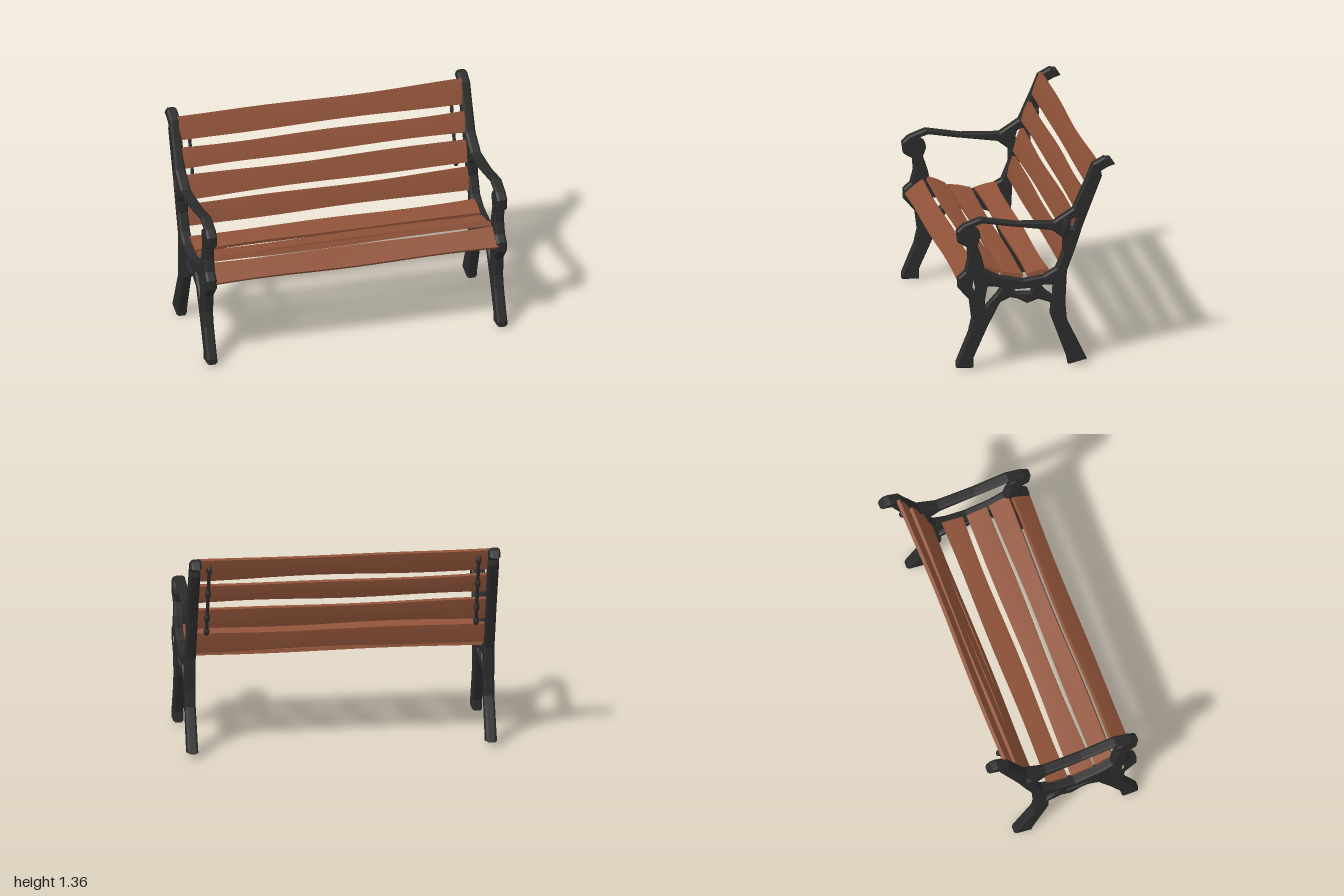
import * as THREE from 'three';

const iron = new THREE.MeshStandardMaterial({ color: 0x2b2b2c });
iron.name = 'darkIron';
const wood = new THREE.MeshStandardMaterial({ color: 0x8f5238 });
wood.name = 'brownWood';

// Side frame silhouette, points are [z, y]
const outline = [
  [-0.51, 1.31], [-0.48, 1.355], [-0.44, 1.36], [-0.365, 1.32], [-0.325, 1.22], [-0.24, 1.03],
  [-0.115, 0.95], [0.13, 0.96], [0.357, 1.0], [0.465, 0.96], [0.51, 0.92], [0.5, 0.845],
  [0.44, 0.81], [0.435, 0.73], [0.455, 0.65], [0.5, 0.61], [0.5, 0.545], [0.425, 0.46],
  [0.41, 0.335], [0.43, 0.245], [0.51, 0.05], [0.51, 0.015], [0.4, 0.01], [0.4, 0.08],
  [0.31, 0.28], [0.23, 0.435], [0.165, 0.465], [0.12, 0.455], [0.055, 0.42], [-0.015, 0.445],
  [-0.1, 0.415], [-0.095, 0.335], [-0.2, 0.05], [-0.21, 0], [-0.33, 0.03], [-0.2, 0.3],
  [-0.19, 0.41], [-0.2, 0.62], [-0.255, 0.77], [-0.3, 0.91], [-0.355, 1.055], [-0.425, 1.235],
  [-0.42, 1.27], [-0.465, 1.295],
];
const openings = [
  // under the armrest
  [[0.4, 0.945], [0.34, 0.965], [0.165, 0.935], [-0.105, 0.895], [-0.175, 0.84], [-0.175, 0.75],
    [-0.13, 0.64], [-0.05, 0.595], [0.08, 0.575], [0.24, 0.61], [0.33, 0.66], [0.345, 0.73],
    [0.375, 0.82], [0.355, 0.88], [0.365, 0.92]],
  // armrest joint, front leg, seat braces
  [[-0.215, 0.9], [-0.23, 0.96], [-0.27, 0.975], [-0.245, 0.9]],
  [[0.405, 0.61], [0.42, 0.55], [0.395, 0.51], [0.385, 0.55]],
  [[0.31, 0.545], [0.22, 0.535], [0.25, 0.49], [0.33, 0.4], [0.325, 0.47]],
  [[0.16, 0.515], [0.02, 0.52], [0.03, 0.49], [0.12, 0.492]],
  [[-0.03, 0.535], [-0.115, 0.535], [-0.11, 0.46], [-0.065, 0.495]],
];

function frameGeometry() {
  const toPoints = (list) => list.map(([z, y]) => new THREE.Vector2(z, y));
  const shape = new THREE.Shape(toPoints(outline));
  shape.holes = openings.map((o) => new THREE.Path(toPoints(o)));
  const geo = new THREE.ExtrudeGeometry(shape, {
    depth: 0.04, bevelEnabled: true, bevelThickness: 0.013, bevelSize: 0.009,
    bevelOffset: -0.009, bevelSegments: 1,
  });
  geo.translate(0, 0, -0.02);
  geo.rotateY(-Math.PI / 2);
  return geo;
}

// Weathered plank: a subdivided box whose edges wander and ends flare slightly
function slatGeometry(width, seed) {
  const geo = new THREE.BoxGeometry(1.87, width, 0.028, 16, 2, 1);
  const p = geo.attributes.position;
  for (let i = 0; i < p.count; i++) {
    const x = p.getX(i), y = p.getY(i), z = p.getZ(i);
    const flare = 0.94 + 0.08 * Math.pow(Math.abs(x) / 0.935, 3);
    const wave = 0.004 * Math.sin(x * 5 + seed * 2.1 + Math.sign(y) * 1.3);
    const crown = Math.abs(y) < 0.001 ? 1.1 : 0.8;
    p.setY(i, y * flare + wave);
    p.setZ(i, z * crown + 0.004 * Math.sin(x * 4 + seed * 1.7));
  }
  geo.computeVertexNormals();
  return geo;
}

// Plank lying across the bench between two [z, y] edges of its cross-section
function addSlat(group, name, [z0, y0], [z1, y1], seed) {
  const slat = new THREE.Mesh(slatGeometry(Math.hypot(z1 - z0, y1 - y0), seed), wood);
  slat.name = name;
  slat.position.set(0, (y0 + y1) / 2, (z0 + z1) / 2);
  slat.rotation.x = Math.atan2(z1 - z0, y1 - y0);
  group.add(slat);
}

function addSide(group, side) {
  const part = new THREE.Group();
  part.name = side > 0 ? 'leftFrame' : 'rightFrame';
  const frame = new THREE.Mesh(frameGeometry(), iron);
  frame.name = 'sideFrame';
  frame.position.x = side * 0.953;
  part.add(frame);

  // Swelling where the armrest meets the post
  const boss = new THREE.Mesh(new THREE.SphereGeometry(1, 8, 6), iron);
  boss.name = 'armrestJoint';
  boss.scale.set(0.036, 0.085, 0.035);
  boss.position.set(side * 0.964, 0.91, -0.19);
  part.add(boss);

  // Thin tie rod with knobs behind the back slats
  const low = new THREE.Vector3(side * 0.86, 0.82, -0.255);
  const high = new THREE.Vector3(side * 0.86, 1.28, -0.395);
  const rod = new THREE.Mesh(
    new THREE.TubeGeometry(new THREE.LineCurve3(low, high), 1, 0.011, 6), iron);
  rod.name = 'tieRod';
  part.add(rod);
  for (const t of [0, 0.22, 0.6, 0.97]) {
    const knob = new THREE.Mesh(new THREE.SphereGeometry(0.02, 6, 5), iron);
    knob.name = 'rodKnob';
    knob.scale.y = 1.5;
    knob.position.lerpVectors(low, high, t);
    part.add(knob);
  }
  group.add(part);
}

export function createModel() {
  const bench = new THREE.Group();
  bench.name = 'bench';
  for (const side of [1, -1]) addSide(bench, side);

  // Back planks, bottom and top edge as [z, y]
  const back = [
    [[-0.168, 0.66], [-0.205, 0.795]],
    [[-0.21, 0.83], [-0.26, 0.97]],
    [[-0.265, 1.02], [-0.312, 1.145]],
    [[-0.332, 1.19], [-0.385, 1.335]],
  ];
  back.forEach(([a, b], i) => addSlat(bench, 'backSlat', a, b, i + 1));

  // Seat planks, front and rear edge as [z, y]
  const seat = [
    [[0.49, 0.575], [0.375, 0.665]],
    [[0.355, 0.675], [0.235, 0.622]],
    [[0.215, 0.618], [0.075, 0.59]],
    [[0.045, 0.59], [-0.09, 0.62]],
  ];
  seat.forEach(([a, b], i) => addSlat(bench, 'seatSlat', a, b, i + 6));
  return bench;
}
